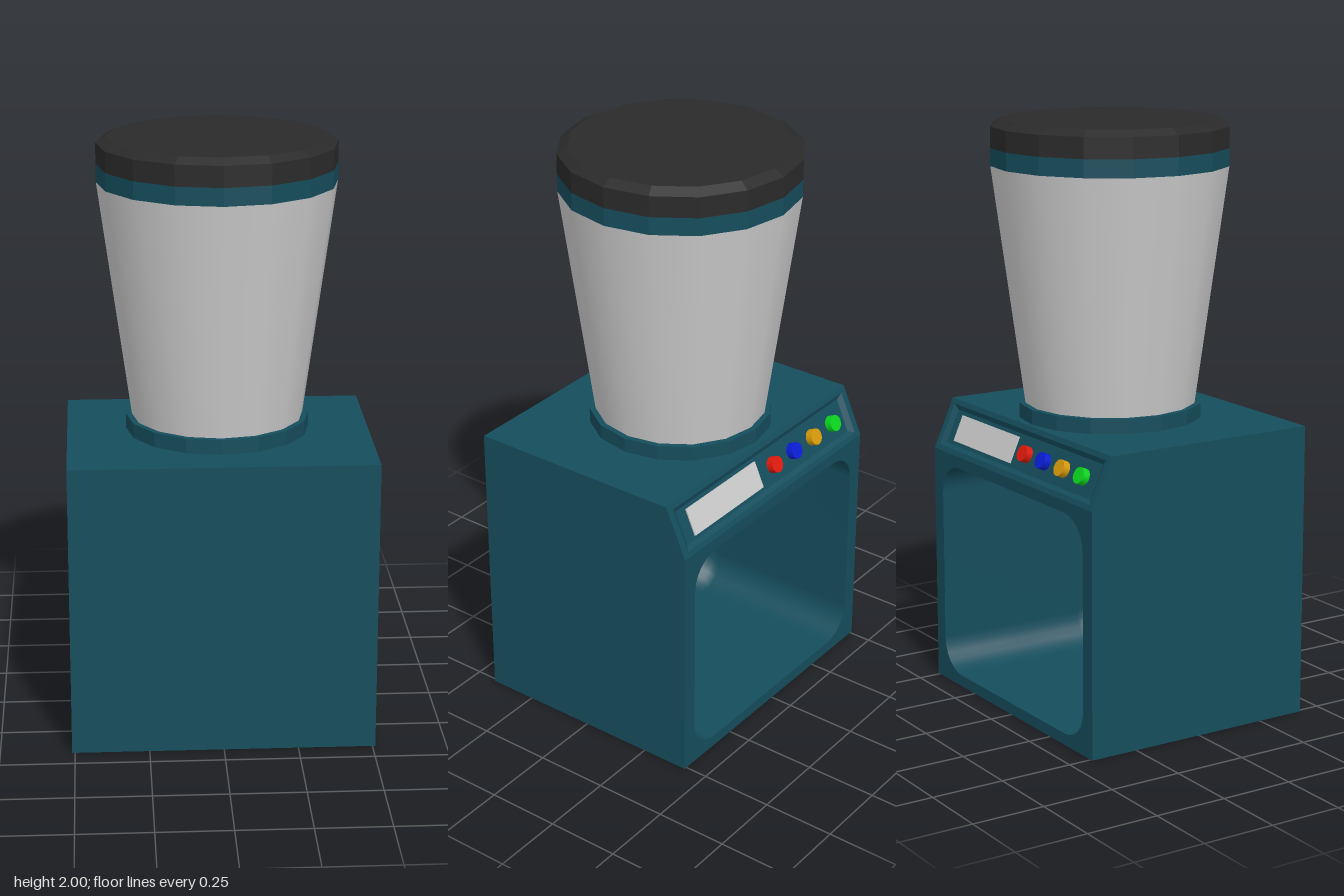
import * as THREE from 'three';

const mat = (color, flatShading = true) => new THREE.MeshStandardMaterial({ color, flatShading });
const TEAL = 0x154d5c, BLACK = 0x2a2a2a, GREY = 0xcccccc;
const SIDES = 16, AXIS_Z = -0.02;

// Flat faces from lists of four corners, counter-clockwise from outside
function quads(list) {
  const pos = [];
  for (const [a, b, c, d] of list) pos.push(...a, ...b, ...c, ...a, ...c, ...d);
  const g = new THREE.BufferGeometry();
  g.setAttribute('position', new THREE.Float32BufferAttribute(pos, 3));
  g.computeVertexNormals();
  return g;
}

// Counter-clockwise rounded rectangle outline centred on (0, cy)
function roundedLoop(hw, hh, r, cy, n = 6) {
  const pts = [];
  [[1, 1], [-1, 1], [-1, -1], [1, -1]].forEach(([sx, sy], q) => {
    for (let i = 0; i <= n; i++) {
      const a = (q + i / n) * Math.PI / 2;
      pts.push(new THREE.Vector2(sx * (hw - r) + r * Math.cos(a), cy + sy * (hh - r) + r * Math.sin(a)));
    }
  });
  return pts;
}

const rect = (hw, y0, y1) => [[-hw, y0], [hw, y0], [hw, y1], [-hw, y1]];
const toVec = (pts) => pts.map(([x, y]) => new THREE.Vector2(x, y));

function faceWithHole(outer, hole) {
  const shape = new THREE.Shape(outer);
  shape.holes.push(new THREE.Path(hole));
  return new THREE.ShapeGeometry(shape);
}

// Smooth hollow with a filleted rear wall
function cavityGeometry(hw, hh, r, cy, zOpen, zEnd, fillet) {
  const rings = [[0, zOpen], [0, (zOpen + zEnd - fillet) / 2]];
  for (let i = 0; i <= 6; i++) {
    const a = i / 6 * Math.PI / 2;
    rings.push([fillet * (1 - Math.cos(a)), zEnd - fillet * (1 - Math.sin(a))]);
  }
  const pos = [], idx = [];
  let n = 0;
  for (const [inset, z] of rings) {
    const loop = roundedLoop(hw - inset, hh - inset, r, cy);
    n = loop.length;
    loop.forEach((p) => pos.push(p.x, p.y, z));
  }
  for (let k = 0; k < rings.length - 1; k++) for (let i = 0; i < n; i++) {
    const j = (i + 1) % n, a = k * n + i, b = k * n + j;
    idx.push(a, a + n, b, b, a + n, b + n);
  }
  const last = (rings.length - 1) * n, centre = pos.length / 3;
  pos.push(0, cy, zEnd);
  for (let i = 0; i < n; i++) idx.push(centre, last + (i + 1) % n, last + i);
  const g = new THREE.BufferGeometry();
  g.setAttribute('position', new THREE.Float32BufferAttribute(pos, 3));
  g.setIndex(idx);
  g.computeVertexNormals();
  return g;
}

export function createModel() {
  const model = new THREE.Group();
  model.name = 'blender';
  const add = (name, geo, material, parent = model) => {
    const m = new THREE.Mesh(geo, material);
    m.name = name;
    parent.add(m);
    return m;
  };

  // Housing: box with a sloped upper rear edge
  const W = 0.51, D = 0.42, H = 1, SY = 0.83, SZ = -0.345;
  const body = mat(TEAL);
  const shell = [
    [[-W, 0, D], [W, 0, D], [W, H, D], [-W, H, D]],
    [[-W, H, D], [W, H, D], [W, H, SZ], [-W, H, SZ]],
    [[-W, 0, -D], [W, 0, -D], [W, 0, D], [-W, 0, D]],
  ];
  add('housing', quads(shell), body);
  const profile = new THREE.Shape(toVec([[-D, 0], [D, 0], [D, H], [SZ, H], [-D, SY]]));
  for (const s of [1, -1]) {
    // Side profile is drawn in (z, y) and turned to face outwards
    const g = new THREE.ShapeGeometry(profile);
    const p = g.attributes.position;
    for (let i = 0; i < p.count; i++) p.setXYZ(i, s * W, p.getY(i), p.getX(i));
    if (s > 0) g.setIndex(Array.from(g.index.array).reverse());
    g.computeVertexNormals();
    add(s > 0 ? 'leftSide' : 'rightSide', g, body);
  }

  // Rear face with rounded opening and the hollow behind it
  const hw = 0.455, hh = 0.375, r = 0.11, cy = 0.415;
  const rear = add('rearFrame', faceWithHole(toVec(rect(W, 0, SY)), roundedLoop(hw, hh, r, cy)), body);
  rear.rotation.y = Math.PI;
  rear.position.z = -D;
  add('cavity', cavityGeometry(hw, hh, r, cy, -D, 0.26, 0.13), mat(TEAL, false));

  // Sloped control panel, built flat then tilted
  const panel = new THREE.Group();
  panel.name = 'controlPanel';
  panel.position.set(0, (H + SY) / 2, (SZ - D) / 2);
  panel.rotation.set(-Math.atan2(D + SZ, H - SY), Math.PI, 0, 'YXZ');
  model.add(panel);
  const half = Math.hypot(H - SY, D + SZ) / 2, depth = 0.012;
  const outer = rect(0.485, -0.075, 0.075), inner = rect(0.465, -0.06, 0.06);
  add('panelFrame', faceWithHole(toVec(rect(W, -half, half)), toVec(outer)), body, panel);
  const recess = [inner.map(([x, y]) => [x, y, -depth])];
  for (let i = 0; i < 4; i++) {
    const j = (i + 1) % 4;
    recess.push([[...outer[i], 0], [...outer[j], 0], [...inner[j], -depth], [...inner[i], -depth]]);
  }
  add('panelRecess', quads(recess), body, panel);

  // Display and buttons
  const display = add('display', new THREE.BoxGeometry(0.38, 0.094, 0.006), mat(GREY), panel);
  display.position.set(-0.23, 0, -depth + 0.002);
  const buttons = [['red', 0xe01b0c, 0.04], ['blue', 0x0a1ed8, 0.155], ['yellow', 0xd89a0a, 0.272], ['green', 0x0ad81e, 0.39]];
  for (const [name, color, x] of buttons) {
    const b = add(name + 'Button', new THREE.CylinderGeometry(0.028, 0.028, 0.026, 20), mat(color, false), panel);
    b.rotation.x = Math.PI / 2;
    b.position.set(x, 0, 0);
  }

  // Collar, jar, band and lid share one vertical axis
  const turned = (name, pts, material) => {
    add(name, new THREE.LatheGeometry(toVec(pts), SIDES), material).position.z = AXIS_Z;
  };
  turned('collar', [[0.31, 1], [0.31, 1.05], [0, 1.05]], body);
  turned('jar', [[0.29, 1.05], [0.4, 1.85]], mat(GREY, false));
  turned('band', [[0.39, 1.85], [0.4, 1.85], [0.4, 1.91]], body);
  turned('lid', [[0.4, 1.91], [0.4, 1.98], [0.365, 2], [0, 2]], mat(BLACK));
  return model;
}
